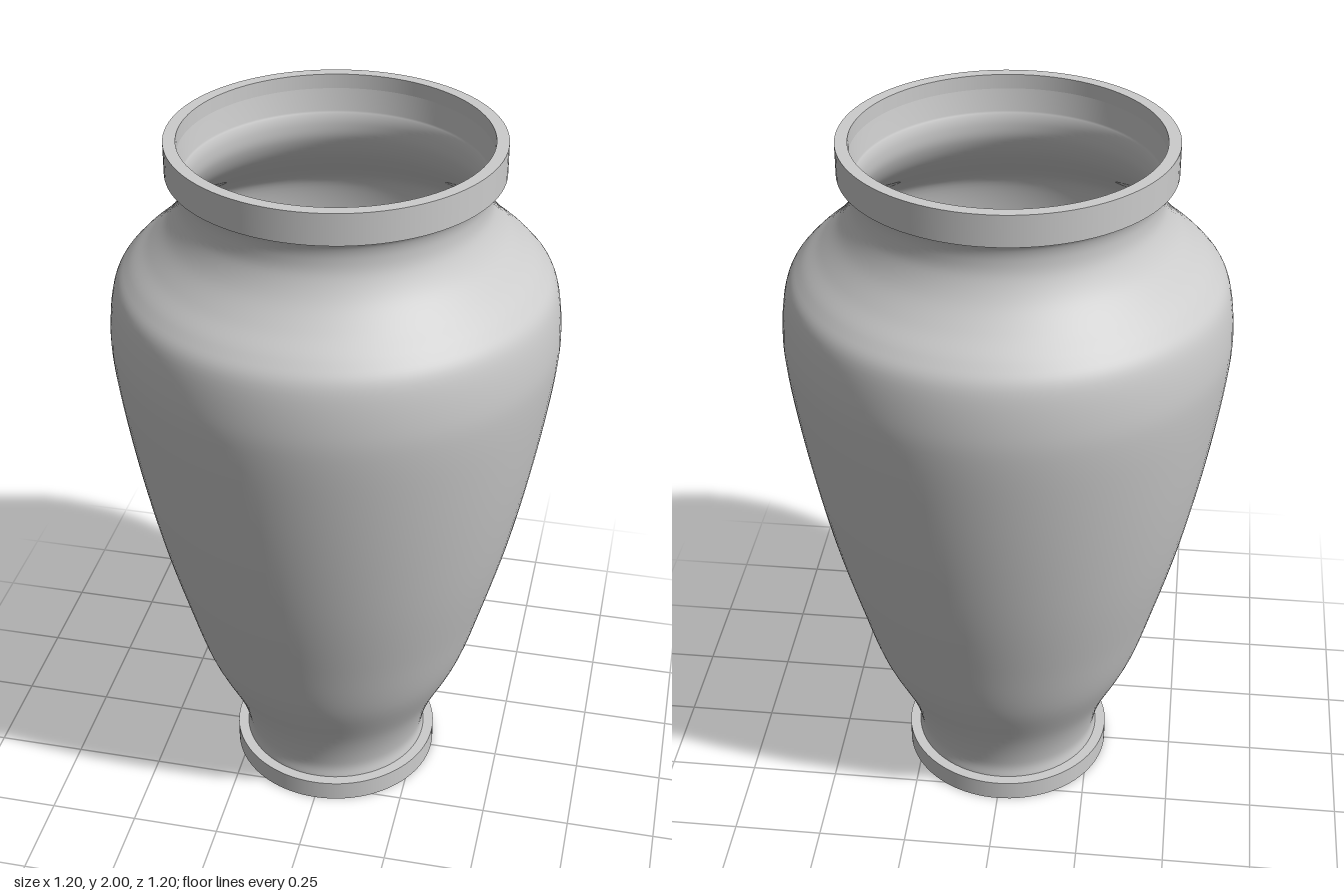
import * as THREE from 'three';
import { mergeGeometries } from 'three/addons/utils/BufferGeometryUtils.js';

const SEGMENTS = 96;
const material = new THREE.MeshStandardMaterial({ color: 0xcccccc });
const toPoints = (list) => list.map(([r, y]) => new THREE.Vector2(r, y));

// Smoothly curved surface of revolution
function smoothLathe(name, points) {
  const mesh = new THREE.Mesh(new THREE.LatheGeometry(points, SEGMENTS), material);
  mesh.name = name;
  return mesh;
}

// Surface of revolution with a hard edge at every profile point
function sharpLathe(name, list) {
  const points = toPoints(list);
  const bands = points.slice(1).map((p, i) => new THREE.LatheGeometry([points[i], p], SEGMENTS));
  const mesh = new THREE.Mesh(mergeGeometries(bands), material);
  mesh.name = name;
  return mesh;
}

export function createModel() {
  const vase = new THREE.Group();
  vase.name = 'vase';

  // Body outline, from the foot up to the flared neck
  const outline = new THREE.SplineCurve(toPoints([
    [0.27, 0.06], [0.268, 0.11], [0.3, 0.22], [0.382, 0.4], [0.442, 0.6],
    [0.495, 0.8], [0.538, 1.0], [0.573, 1.2], [0.597, 1.38], [0.6, 1.49],
    [0.583, 1.6], [0.545, 1.655], [0.49, 1.705], [0.44, 1.76], [0.41, 1.815],
    [0.403, 1.86], [0.409, 1.895], [0.425, 1.915],
  ])).getPoints(100);
  vase.add(smoothLathe('body', outline));

  // Inner wall: the outline moved inwards and run from top to bottom
  const inner = outline
    .map((p) => new THREE.Vector2(p.x - 0.014, p.y))
    .filter((p) => p.y < 1.9)
    .reverse();
  inner.unshift(new THREE.Vector2(0.405, 1.96));
  vase.add(smoothLathe('innerWall', inner));

  // Flat-sided rim band around the mouth
  vase.add(sharpLathe('rim', [
    [0.405, 1.915], [0.4375, 1.915], [0.4375, 2], [0.405, 2], [0.405, 1.955],
  ]));

  // Foot ring with a round recess underneath
  vase.add(sharpLathe('foot', [
    [0, 0.045], [0.19, 0.045], [0.19, 0], [0.3, 0], [0.3, 0.06], [0.25, 0.06],
  ]));

  // Inner floor, slightly raised in the middle
  vase.add(smoothLathe('floor', toPoints([
    [0.258, 0.06], [0.215, 0.06], [0.205, 0.063], [0.195, 0.07], [0.18, 0.074], [0.15, 0.075], [0, 0.075],
  ])));

  return vase;
}
